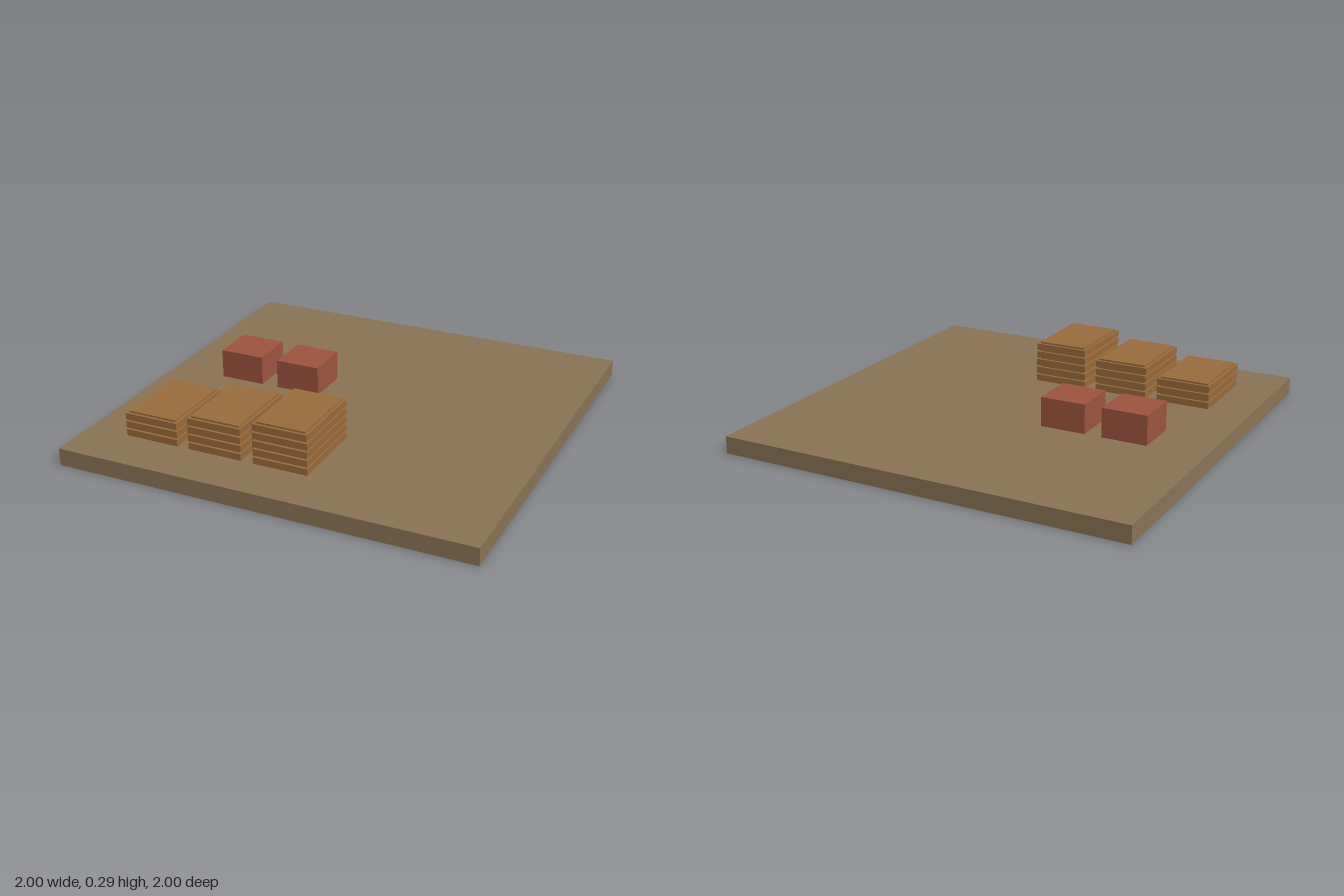
import * as THREE from 'three';

const material = (color) => new THREE.MeshStandardMaterial({ color, flatShading: true });

// Box resting on height y
function addBox(parent, name, mat, w, h, d, x, y, z) {
  const mesh = new THREE.Mesh(new THREE.BoxGeometry(w, h, d), mat);
  mesh.name = name;
  mesh.position.set(x, y + h / 2, z);
  parent.add(mesh);
  return mesh;
}

export function createModel() {
  const model = new THREE.Group();
  model.name = 'storageYard';

  const ground = material(0x8b7355);
  const wood = material(0x996b3d);
  const brick = material(0x9e543f);
  const groundTop = 0.083;

  // Ground slab
  addBox(model, 'groundSlab', ground, 2, groundTop, 2, 0, 0, 0);

  // Plank stacks, growing by one layer each: wide board plus inset spacer
  const boardHeight = 0.032;
  const spacerHeight = 0.0085;
  const pitch = boardHeight + spacerHeight;
  [-0.663, -0.337, -0.01].forEach((x, i) => {
    const stack = new THREE.Group();
    stack.name = 'plankStack' + (i + 1);
    stack.position.set(x, groundTop, 0.56);
    for (let layer = 0; layer < 3 + i; layer++) {
      const y = layer * pitch;
      addBox(stack, 'board', wood, 0.267, boardHeight, 0.4, 0, y, 0);
      addBox(stack, 'spacer', wood, 0.24, spacerHeight, 0.373, 0, y + boardHeight, 0);
    }
    model.add(stack);
  });

  // Brick blocks
  [-0.613, -0.307].forEach((x, i) => {
    addBox(model, 'brickBlock' + (i + 1), brick, 0.222, 0.142, 0.222, x, groundTop, -0.102);
  });

  return model;
}
